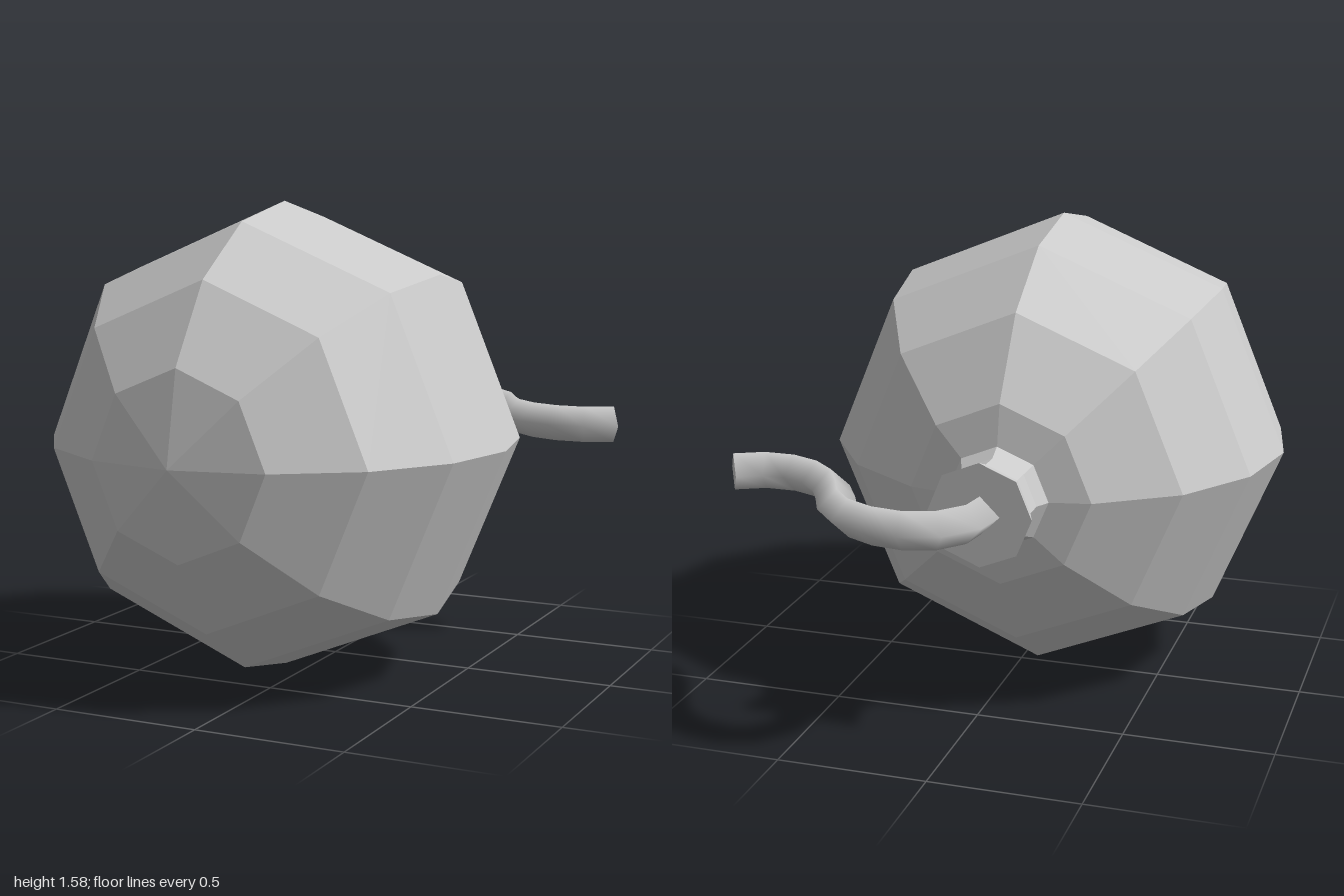
import * as THREE from 'three';

export function createModel() {
  const model = new THREE.Group();
  const flat = new THREE.MeshStandardMaterial({ color: 0xcccccc, flatShading: true });
  const smooth = new THREE.MeshStandardMaterial({ color: 0xcccccc });
  const CX = -0.09, CY = 0.795, CZ = 0.205;

  const add = (name, geometry, material) => {
    const mesh = new THREE.Mesh(geometry, material);
    mesh.name = name;
    model.add(mesh);
    return mesh;
  };

  // Faceted round body, its axis lying along z
  const body = new THREE.SphereGeometry(0.79, 8, 8);
  body.rotateX(-Math.PI / 2);
  add('body', body, flat).position.set(CX, CY, CZ);

  // Waisted octagonal neck at the back, closed at its end
  const profile = [[0.17, 0.553], [0.145, 0.6], [0.145, 0.665], [0.17, 0.735], [0, 0.735]];
  const neck = new THREE.LatheGeometry(profile.map(([r, y]) => new THREE.Vector2(r, y)), 8);
  neck.rotateX(-Math.PI / 2);
  add('neck', neck, flat).position.set(CX, CY, 0);

  // Curved fuse with a four-sided section, path given as x, z
  const path = [
    [-0.095, -0.72], [-0.074, -0.834], [0.005, -0.913], [0.116, -0.936], [0.232, -0.905],
    [0.33, -0.836], [0.388, -0.731], [0.441, -0.628], [0.52, -0.549], [0.6, -0.508],
    [0.696, -0.493], [0.775, -0.512], [0.831, -0.546],
  ];
  const curve = new THREE.CatmullRomCurve3(path.map(([x, z]) => new THREE.Vector3(x, CY, z)));
  const radius = 0.063;
  add('fuse', new THREE.TubeGeometry(curve, 12, radius, 4), smooth);

  // Flat tip closing the fuse
  const tip = add('fuseTip', new THREE.CircleGeometry(radius, 4), flat);
  tip.position.copy(curve.getPoint(1));
  tip.lookAt(tip.position.clone().add(curve.getTangent(1)));

  return model;
}
